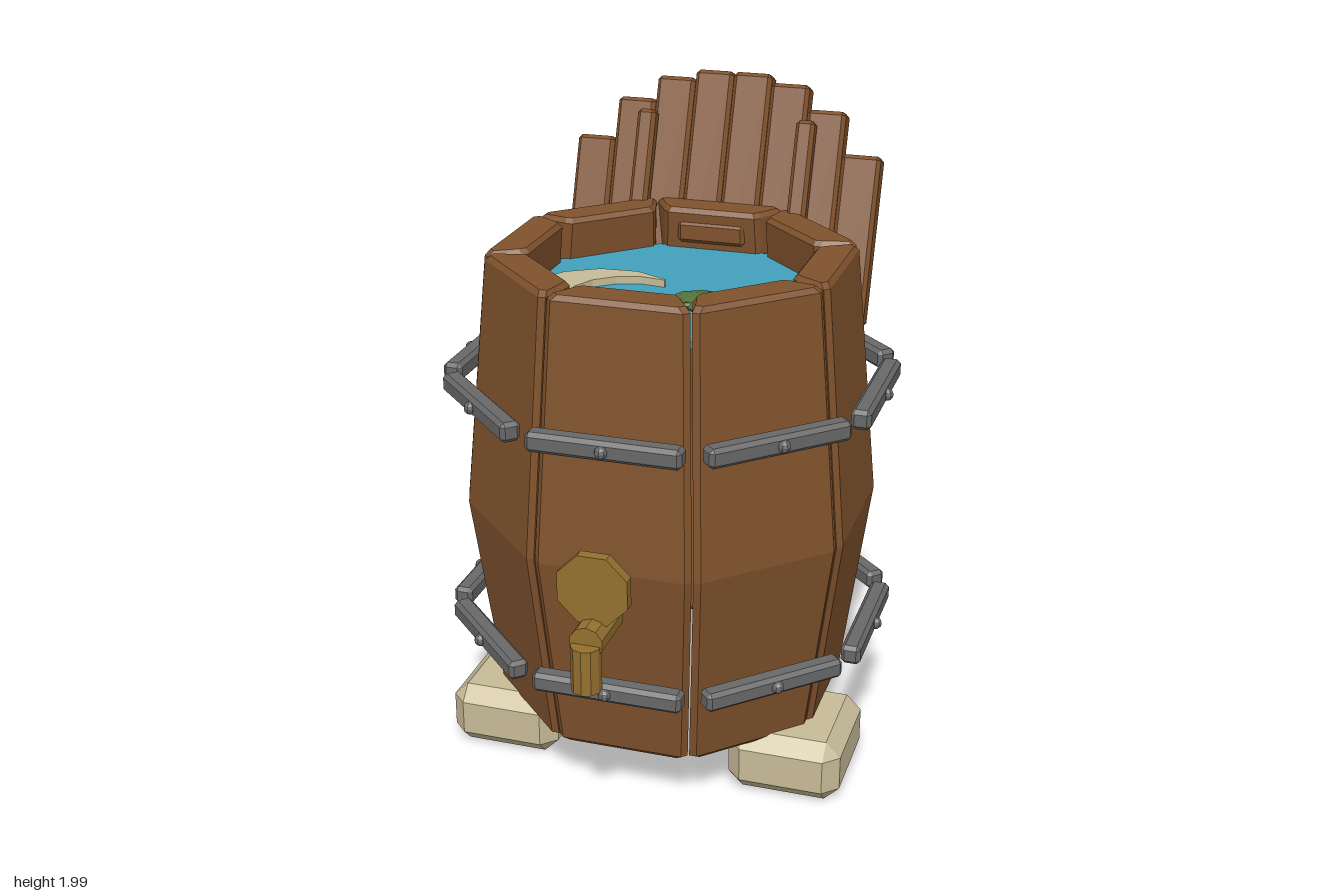
import * as THREE from 'three';
import { ConvexGeometry } from 'three/addons/geometries/ConvexGeometry.js';

const mat = (color, extra = {}) => new THREE.MeshStandardMaterial({ color, flatShading: true, ...extra });
const WOOD = mat(0x80522c), IRON = mat(0x686868), STONE = mat(0xc8bc98);
const BRASS = mat(0x94702f), WATER = mat(0x42a0bd, { side: THREE.DoubleSide }), LEAF = mat(0x55753c);
const BARREL_Z = -0.06;
const SIDES = 8;

function add(parent, name, geometry, material, x = 0, y = 0, z = 0) {
  const mesh = new THREE.Mesh(geometry, material);
  mesh.name = name;
  mesh.position.set(x, y, z);
  parent.add(mesh);
  return mesh;
}

// Box with every edge cut by a bevel b
function chamferBox(w, h, d, b) {
  const pts = [];
  for (const sx of [-1, 1]) for (const sy of [-1, 1]) for (const sz of [-1, 1]) {
    const x = w / 2, y = h / 2, z = d / 2;
    pts.push(new THREE.Vector3(sx * x, sy * (y - b), sz * (z - b)));
    pts.push(new THREE.Vector3(sx * (x - b), sy * y, sz * (z - b)));
    pts.push(new THREE.Vector3(sx * (x - b), sy * (y - b), sz * z));
  }
  return new ConvexGeometry(pts);
}

// Bulging barrel stave lofted from bevelled wedge sections
function staveGeometry() {
  const levels = [ // y, inner radius, outer radius, inset
    [0.18, 0.4, 0.51, 0.012], [0.195, 0.4, 0.512, 0], [0.82, 0.475, 0.592, 0],
    [1.595, 0.4, 0.52, 0], [1.61, 0.4, 0.52, 0.012],
  ];
  const b = 0.016, t = Math.tan(Math.PI / SIDES), n = 8, pos = [], idx = [];
  for (const [y, r0, R0, inset] of levels) {
    const r = r0 + inset, R = R0 - inset;
    const wo = R * t - 0.009 - inset, wi = r * t - 0.009 - inset;
    const ring = [[-wo, R - b], [-wo + b, R], [wo - b, R], [wo, R - b],
      [wi, r + b], [wi - b, r], [-wi + b, r], [-wi, r + b]];
    for (const [x, z] of ring) pos.push(x, y, z);
  }
  const last = (levels.length - 1) * n;
  for (let k = 0; k < last; k += n) for (let j = 0; j < n; j++) {
    const a = k + j, c = k + (j + 1) % n;
    idx.push(a, c, c + n, a, c + n, a + n);
  }
  for (let j = 1; j < n - 1; j++) {
    idx.push(0, j + 1, j);
    idx.push(last, last + j, last + j + 1);
  }
  const g = new THREE.BufferGeometry();
  g.setAttribute('position', new THREE.Float32BufferAttribute(pos, 3));
  g.setIndex(idx);
  const flat = g.toNonIndexed();
  flat.computeVertexNormals();
  return flat;
}

function buildBarrel() {
  const barrel = new THREE.Group();
  barrel.name = 'barrel';
  barrel.position.z = BARREL_Z;
  const stave = staveGeometry();
  const bar = chamferBox(0.455, 0.06, 0.06, 0.012);
  const bolt = new THREE.SphereGeometry(0.019, 8, 6);
  for (let i = 0; i < SIDES; i++) {
    const side = new THREE.Group();
    side.name = 'barrelSide';
    side.rotation.y = i * Math.PI * 2 / SIDES;
    add(side, 'stave', stave, WOOD);
    for (const y of [0.46, 1.223]) {
      add(side, 'hoopBar', bar, IRON, 0, y, 0.628);
      add(side, 'hoopBolt', bolt, IRON, 0, y, 0.66);
    }
    barrel.add(side);
  }
  // Water surface reaching into the staves
  const water = add(barrel, 'water', new THREE.CylinderGeometry(0.46, 0.46, 0.02, SIDES), WATER, 0, 1.47, 0);
  water.rotation.y = Math.PI / SIDES;
  return barrel;
}

function buildBackrest() {
  const rest = new THREE.Group();
  rest.name = 'backrest';
  rest.position.set(0, 1.27, -0.485);
  rest.rotation.x = -0.349;
  const lengths = [0.762, 0.735, 0.66, 0.53];
  for (const s of [-1, 1]) {
    lengths.forEach((len, i) =>
      add(rest, 'backPlank', chamferBox(0.124, len, 0.08, 0.012), WOOD, s * (0.0625 + i * 0.125), len / 2, 0));
    add(rest, 'backBrace', chamferBox(0.06, 0.42, 0.055, 0.012), WOOD, s * 0.26, 0.41, 0.065);
  }
  return rest;
}

function buildTap() {
  const tap = new THREE.Group();
  tap.name = 'tap';
  const pipe = add(tap, 'tapPipe', new THREE.CylinderGeometry(0.05, 0.05, 0.18, 10), BRASS, 0, 0.707, 0.655);
  pipe.rotation.x = Math.PI / 2;
  add(tap, 'tapSpout', new THREE.CylinderGeometry(0.044, 0.044, 0.138, 10), BRASS, 0, 0.634, 0.745);
  add(tap, 'tapStem', new THREE.CylinderGeometry(0.03, 0.03, 0.1, 8), BRASS, 0, 0.79, 0.648);
  const handle = add(tap, 'tapHandle', new THREE.CylinderGeometry(0.112, 0.112, 0.034, 8), BRASS, 0, 0.843, 0.672);
  handle.rotation.set(Math.PI / 2, Math.PI / 8, 0);
  return tap;
}

// Crescent lying flat on the water
function crescentGeometry() {
  const pts = [], n = 9;
  const arc = (cx, cz, r, from, to) => {
    for (let i = 0; i <= n; i++) {
      const a = from + (to - from) * i / n;
      pts.push(new THREE.Vector2(cx + r * Math.cos(a), cz + r * Math.sin(a)));
    }
  };
  arc(-0.175, -0.1, 0.23, 0.88, Math.PI * 2 - 0.88);
  arc(-0.09, -0.1, 0.18, Math.PI * 2 - 1.22, 1.22);
  const g = new THREE.ExtrudeGeometry(new THREE.Shape(pts), { depth: 0.025, bevelEnabled: false });
  return g.rotateX(-Math.PI / 2);
}

export function createModel() {
  const model = new THREE.Group();
  model.name = 'barrelTub';
  model.add(buildBarrel(), buildBackrest(), buildTap());

  // Small ledge on the inner back wall
  add(model, 'innerLedge', chamferBox(0.22, 0.07, 0.06, 0.012), WOOD, 0, 1.535, -0.485);

  // Two stone feet
  for (const s of [-1, 1]) add(model, 'footStone', chamferBox(0.35, 0.2, 0.385, 0.046), STONE, s * 0.455, 0.102, 0.108);

  // Floating crescent and leaf
  add(model, 'crescent', crescentGeometry(), STONE, 0, 1.478, 0);
  const leaf = new THREE.Group();
  leaf.name = 'floatingLeaf';
  leaf.position.set(0.205, 1.49, 0.08);
  leaf.rotation.y = -0.38;
  const blade = add(leaf, 'leafBlade', new THREE.SphereGeometry(1, 9, 6), LEAF);
  blade.scale.set(0.19, 0.028, 0.088);
  model.add(leaf);
  const stem = add(model, 'leafStem', new THREE.CylinderGeometry(0.01, 0.01, 0.14, 6), LEAF, 0.058, 1.495, 0.13);
  stem.rotation.set(0, 0.52, Math.PI / 2);
  return model;
}
